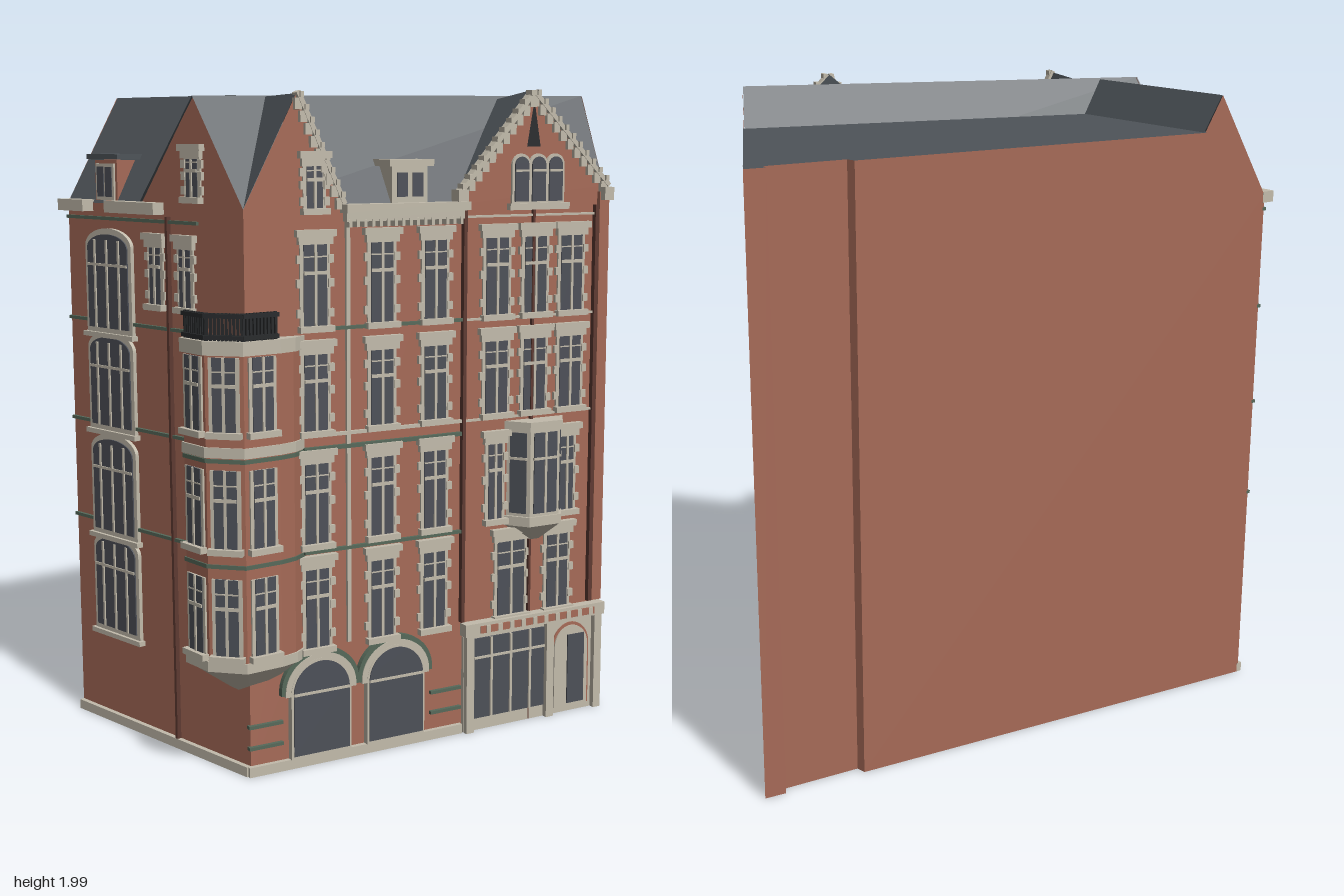
import * as THREE from 'three';

const mat = (name, color, side = THREE.FrontSide) => {
  const m = new THREE.MeshStandardMaterial({ color, side });
  m.name = name;
  return m;
};

export function createModel() {
  const root = new THREE.Group();
  root.name = 'cornerBuilding';
  const brick = mat('brick', 0xa66a57, THREE.DoubleSide);
  const slate = mat('slate', 0x4e5459, THREE.DoubleSide);
  const stone = mat('stone', 0xc2bbab);
  const glass = mat('glass', 0x4d5058);
  const iron = mat('iron', 0x27292b);
  const green = mat('greenTrim', 0x56695a);
  const pipe = mat('pipe', 0x5e3a32);

  const add = (g, name, geo, m, x = 0, y = 0, z = 0) => {
    const mesh = new THREE.Mesh(geo, m);
    mesh.name = name;
    mesh.position.set(x, y, z);
    g.add(mesh);
    return mesh;
  };
  // Box given by its centre in a wall's own frame
  const box = (g, name, m, x, y, z, w, h, d) => add(g, name, new THREE.BoxGeometry(w, h, d), m, x, y, z);
  // Box given by its extents; depth is measured out from the wall
  const slab = (g, name, m, x0, x1, y0, y1, out, back = 0.005) =>
    box(g, name, m, (x0 + x1) / 2, (y0 + y1) / 2, (out - back) / 2, x1 - x0, y1 - y0, out + back);
  // Frame whose x runs along a wall from a to b and whose z points outward
  const frame = (name, a, b) => {
    const g = new THREE.Group();
    g.name = name;
    g.position.set(a[0], 0, a[1]);
    g.rotation.y = -Math.atan2(b[1] - a[1], b[0] - a[0]);
    root.add(g);
    return g;
  };
  const len = (a, b) => Math.hypot(b[0] - a[0], b[1] - a[1]);
  const poly = pts => new THREE.Shape(pts.map(p => new THREE.Vector2(...p)));
  const wall = (g, pts) => add(g, 'wall', new THREE.ShapeGeometry(poly(pts)), brick);
  // Flat polygons joined into one surface
  const facets = (g, name, m, faces) => {
    const pos = [];
    for (const f of faces)
      for (let i = 1; i < f.length - 1; i++) pos.push(...f[0], ...f[i], ...f[i + 1]);
    const geo = new THREE.BufferGeometry();
    geo.setAttribute('position', new THREE.Float32BufferAttribute(pos, 3));
    geo.computeVertexNormals();
    return add(g, name, geo, m);
  };
  const arch = (g, name, m, x, y0, spring, w, rise, out) => {
    const s = new THREE.Shape();
    s.moveTo(-w / 2, y0);
    s.lineTo(w / 2, y0);
    s.lineTo(w / 2, spring);
    s.absellipse(0, spring, w / 2, rise, 0, Math.PI, false);
    s.lineTo(-w / 2, y0);
    add(g, name, new THREE.ExtrudeGeometry(s, { depth: out + 0.005, bevelEnabled: false, curveSegments: 14 }), m, x, 0, -0.005);
  };
  // Sash window with stone jambs, glazing bars, lintel and sill
  const sash = (g, x, y0, y1, w, head = true) => {
    const win = new THREE.Group();
    win.name = 'window';
    win.position.x = x;
    g.add(win);
    const h = y1 - y0, t = y0 + h * 0.62;
    slab(win, 'jambs', stone, -w / 2 - 0.011, w / 2 + 0.011, y0, y1, 0.006);
    slab(win, 'pane', glass, -w / 2, w / 2, y0, y1, 0.008, -0.002);
    slab(win, 'mullion', stone, -0.004, 0.004, y0, y1, 0.012, 0);
    slab(win, 'transom', stone, -w / 2, w / 2, t - 0.005, t + 0.005, 0.012, 0);
    slab(win, 'glazingBar', stone, -w / 2, w / 2, y0 + h * 0.8, y0 + h * 0.8 + 0.004, 0.01, 0);
    slab(win, 'sill', stone, -w / 2 - 0.018, w / 2 + 0.018, y0 - 0.018, y0, 0.022);
    if (!head) return;
    slab(win, 'lintel', stone, -w / 2 - 0.018, w / 2 + 0.018, y1 - 0.012, y1 + 0.012, 0.014);
    slab(win, 'lintelCap', stone, -w / 2 - 0.026, w / 2 + 0.026, y1 + 0.01, y1 + 0.03, 0.02);
    for (const s of [-1, 1])
      for (const q of [0.15, 0.5, 0.78]) box(win, 'quoin', stone, s * (w / 2 + 0.013), y0 + h * q, 0.004, 0.018, 0.024, 0.012);
  };

  // Plan corners
  const A = [-0.82, 0.22], B = [0.38, 0.59], D = [0.93, -0.38], C = [-0.8, -0.615];
  const back = [D, [0.865, -0.39], [0.86, -0.365], [0.615, -0.395], [0.61, -0.425], C];
  const U = x => (x - A[0]) / 0.9556;   // distance along the front for a given x
  const L = len(A, B);
  const rows = [[0.36, 0.61], [0.675, 0.925], [1.01, 1.245], [1.315, 1.56]];

  // Plain party walls
  const right = frame('rightWall', B, D);
  wall(right, [[0, 0], [len(B, D), 0], [len(B, D), 1.86], [0.302, 1.86], [0.206, 1.98], [0, 1.66]]);
  for (let i = 0; i < 5; i++) {
    const g = frame('backWall', back[i], back[i + 1]), l = len(back[i], back[i + 1]);
    wall(g, i < 4 ? [[0, 0], [l, 0], [l, 1.86], [0, 1.86]]
      : [[0, 0], [l, 0], [l, 1.65], [1.241, 1.97], [1.18, 1.86], [0, 1.86]]);
  }

  // Street front
  const front = frame('frontFacade', A, B);
  const g1 = [0, U(-0.66), U(-0.52)], g2 = [U(-0.15), U(0.105), L];
  wall(front, [[0, 0], [L, 0], [L, 1.7], [g2[1], 1.99], [g2[0], 1.68], [g2[0], 1.65], [g1[2], 1.65], [g1[1], 1.97], [0, 1.65]]);
  rows.forEach(([y0, y1], r) => {
    for (const x of [-0.61, -0.4, -0.225]) sash(front, U(x), y0, y1, 0.075);
    const rightCols = [[[0.045, 0.1], [0.215, 0.08]], [[-0.015, 0.05], [0.245, 0.05]]][r]
      || [[-0.015, 0.08], [0.12, 0.08], [0.25, 0.08]];
    for (const [x, w] of rightCols) sash(front, U(x), y0, y1, w);
  });
  sash(front, U(-0.61), 1.65, 1.78, 0.05);

  // String courses, cornice, plinth and pipes
  for (const [y, h, m] of [[0.645, 0.01, green], [0.95, 0.012, green], [0.99, 0.01, stone], [1.3, 0.01, green]])
    slab(front, 'stringCourse', m, U(-0.65), U(-0.13), y, y + h, 0.012);
  for (const y of [0.99, 1.3, 1.61]) slab(front, 'stringCourse', stone, U(-0.13), L, y, y + 0.007, 0.009);
  slab(front, 'cornice', stone, U(-0.53), U(-0.13), 1.635, 1.66, 0.045);
  slab(front, 'corniceBase', stone, U(-0.52), U(-0.14), 1.61, 1.636, 0.025);
  for (let i = 0; i < 16; i++) box(front, 'bracket', stone, U(-0.51 + i * 0.024), 1.605, 0.012, 0.01, 0.022, 0.03);
  slab(front, 'plinth', stone, -0.01, U(-0.13), 0, 0.03, 0.015);
  slab(front, 'pilaster', stone, U(-0.515), U(-0.503), 0.36, 1.61, 0.01);
  slab(front, 'pilaster', brick, U(0.345), L, 0.36, 1.68, 0.014);
  for (const x of [-0.13, 0.335]) slab(front, 'downpipe', pipe, U(x) - 0.006, U(x) + 0.006, 0.36, 1.64, 0.016);
  slab(front, 'pole', pipe, U(0.11) - 0.004, U(0.11) + 0.004, 0, 1.64, 0.012);

  // Ground-floor arches and green rails
  for (const x of [-0.606, -0.362]) {
    arch(front, 'archHood', green, U(x), 0.23, 0.24, 0.26, 0.12, 0.018);
    arch(front, 'archStone', stone, U(x), 0.225, 0.235, 0.235, 0.11, 0.021);
    arch(front, 'archFrame', stone, U(x), 0.03, 0.23, 0.2, 0.1, 0.022);
    arch(front, 'archGlass', glass, U(x), 0.04, 0.23, 0.186, 0.092, 0.025);
    slab(front, 'archTransom', stone, U(x) - 0.093, U(x) + 0.093, 0.225, 0.233, 0.028);
  }
  for (const x of [-0.775, -0.185])
    for (const y of [0.085, 0.15]) slab(front, 'rail', green, U(x) - 0.055, U(x) + 0.055, y - 0.005, y + 0.005, 0.012);

  // Shopfront and door
  slab(front, 'shopSurround', stone, U(-0.125), L, 0, 0.31, 0.012);
  slab(front, 'shopFascia', stone, U(-0.13), L, 0.315, 0.355, 0.035);
  slab(front, 'fasciaPanel', brick, U(-0.08), U(0.34), 0.322, 0.345, 0.038);
  for (let i = 0; i < 10; i++) slab(front, 'fasciaBlock', stone, U(-0.06 + i * 0.042), U(-0.045 + i * 0.042), 0.322, 0.345, 0.04);
  slab(front, 'shopGlass', glass, U(-0.09), U(0.165), 0.04, 0.3, 0.018);
  for (const x of [-0.03, 0.04, 0.11]) slab(front, 'shopMullion', stone, U(x) - 0.004, U(x) + 0.004, 0.04, 0.3, 0.023);
  slab(front, 'shopTransom', stone, U(-0.09), U(0.165), 0.235, 0.242, 0.023);
  for (const x of [-0.11, 0.18, 0.36]) slab(front, 'shopPilaster', stone, U(x) - 0.014, U(x) + 0.014, 0, 0.32, 0.03);
  arch(front, 'doorRecess', brick, U(0.265), 0.02, 0.22, 0.145, 0.08, 0.016);
  arch(front, 'doorArch', stone, U(0.265), 0.02, 0.22, 0.13, 0.07, 0.02);
  slab(front, 'door', glass, U(0.25), U(0.312), 0.03, 0.26, 0.024);

  // Oriel window
  const oriel = new THREE.Group();
  oriel.name = 'oriel';
  oriel.position.x = U(0.125);
  front.add(oriel);
  const plan = [[-0.1, 0], [-0.055, 0.065], [0.055, 0.065], [0.1, 0]];
  const ring = (s, y) => plan.map(([x, z]) => [x * s, y, z * s]);
  const loft = (g, name, m, a, b) => facets(g, name, m, a.slice(1).map((p, i) => [a[i], p, b[i + 1], b[i]]).concat([b]));
  loft(oriel, 'orielBody', stone, ring(1, 0.65), ring(1, 0.95));
  for (const [y, s] of [[0.65, 1.1], [0.95, 1.1]]) {
    loft(oriel, 'orielBand', stone, ring(s, y), ring(s, y + 0.03));
    add(oriel, 'orielBandUnder', new THREE.ShapeGeometry(poly(plan.map(([x, z]) => [x * s, z * s]))).rotateX(Math.PI / 2), stone, 0, y, 0);
  }
  loft(oriel, 'orielCorbel', stone, ring(0.25, 0.595), ring(1.05, 0.65));
  for (let i = 0; i < 3; i++) {
    const [a, b] = [plan[i], plan[i + 1]], face = new THREE.Group(), l = len(a, b);
    face.name = 'orielFace';
    face.position.set(a[0], 0, a[1]);
    face.rotation.y = -Math.atan2(b[1] - a[1], b[0] - a[0]);
    oriel.add(face);
    slab(face, 'orielGlass', glass, 0.012, l - 0.012, 0.69, 0.945, 0.004, -0.001);
    slab(face, 'orielTransom', stone, 0.01, l - 0.01, 0.86, 0.868, 0.007, 0);
    if (i === 1) slab(face, 'orielMullion', stone, l / 2 - 0.004, l / 2 + 0.004, 0.69, 0.945, 0.007, 0);
  }

  // Triple arched gable window
  slab(front, 'tripleSill', stone, U(0.02), U(0.23), 1.63, 1.65, 0.02);
  for (const x of [0.065, 0.125, 0.185]) {
    arch(front, 'tripleFrame', stone, U(x), 1.65, 1.765, 0.068, 0.034, 0.008);
    arch(front, 'tripleGlass', glass, U(x), 1.655, 1.765, 0.05, 0.025, 0.012);
    slab(front, 'tripleBar', stone, U(x) - 0.025, U(x) + 0.025, 1.745, 1.752, 0.015);
  }
  facets(front, 'gableOrnament', iron, [[[g2[1] - 0.025, 1.82, 0.01], [g2[1] + 0.025, 1.82, 0.01], [g2[1], 1.96, 0.01]]]);

  // Sloped coping with stepped blocks and crockets
  const coping = (g, x0, y0, x1, y1, n) => {
    const l = Math.hypot(x1 - x0, y1 - y0);
    box(g, 'coping', stone, (x0 + x1) / 2, (y0 + y1) / 2, 0, l, 0.014, 0.03).rotation.z = Math.atan2(y1 - y0, x1 - x0);
    for (let i = 0; i < n; i++) {
      const t = (i + 0.5) / n, x = x0 + (x1 - x0) * t, y = y0 + (y1 - y0) * t;
      box(g, 'stepBlock', stone, x + Math.sign(x1 - x0) * 0.008, y - 0.016, 0.004, 0.022, 0.032, 0.018);
      box(g, 'crocket', stone, x, y + 0.01, 0.006, 0.012, 0.016, 0.03);
    }
  };
  coping(front, g1[2], 1.66, g1[1], 1.975, 9);
  coping(front, g2[0], 1.68, g2[1], 1.985, 11);
  coping(front, g2[2], 1.7, g2[1], 1.985, 11);
  for (const x of [g2[0], g2[2] - 0.015]) box(front, 'kneeler', stone, x, 1.675, 0.015, 0.035, 0.04, 0.04);

  // Main front roof and its gables
  facets(front, 'frontRoof', slate, [
    [[0, 1.65, 0], [L, 1.66, 0], [1.298, 1.98, -0.201], [-0.062, 1.965, -0.2]],
    [[-0.062, 1.965, -0.2], [1.298, 1.98, -0.201], [1.355, 1.65, -0.46], [-0.13, 1.65, -0.46]]]);
  for (const [g, y, yl, yr] of [[g1, 1.97, 1.65, 1.65], [g2, 1.99, 1.68, 1.7]])
    facets(front, 'gableRoof', slate, [
      [[g[0], yl, -0.002], [g[1], y, -0.002], [g[1], 1.965, -0.2]],
      [[g[1], y, -0.002], [g[2], yr, -0.002], [g[1], 1.965, -0.2]]]);

  // Front dormer
  const dx = U(-0.31);
  box(front, 'dormer', stone, dx, 1.71, -0.05, 0.12, 0.12, 0.11);
  box(front, 'dormerRoof', stone, dx, 1.775, -0.045, 0.15, 0.02, 0.125);
  for (const s of [-1, 1]) box(front, 'dormerGlass', glass, dx + s * 0.026, 1.712, 0.005, 0.036, 0.07, 0.006);

  // Left street front
  const left = frame('leftFacade', C, A), M = len(C, A);
  wall(left, [[0, 0], [M, 0], [M, 1.65], [0.625, 1.965], [0.37, 1.65], [0, 1.65]]);
  rows.forEach(([y0, y1]) => {
    arch(left, 'segmentFrame', stone, 0.215, y0 - 0.06, y1 - 0.04, 0.23, 0.055, 0.012);
    arch(left, 'segmentGlass', glass, 0.215, y0 - 0.045, y1 - 0.045, 0.2, 0.042, 0.016);
    for (const x of [0.155, 0.215, 0.275]) slab(left, 'segmentMullion', stone, x - 0.004, x + 0.004, y0 - 0.045, y1 - 0.02, 0.02);
    slab(left, 'segmentTransom', stone, 0.115, 0.315, y1 - 0.1, y1 - 0.092, 0.02);
    slab(left, 'segmentSill', stone, 0.09, 0.34, y0 - 0.075, y0 - 0.06, 0.022);
    slab(left, 'stringCourse', green, 0, 0.64, y1 + 0.04, y1 + 0.05, 0.01);
  });
  sash(left, 0.44, 1.36, 1.54, 0.05);
  sash(left, 0.58, 1.36, 1.54, 0.05);
  sash(left, 0.62, 1.68, 1.8, 0.05);
  slab(left, 'plinth', stone, 0, M, 0, 0.03, 0.015);
  slab(left, 'downpipe', pipe, 0.5, 0.51, 0.03, 1.62, 0.014);
  for (const [a, b] of [[0, 0.13], [0.24, 0.48]]) slab(left, 'cornice', stone, a, b, 1.625, 1.66, 0.04);
  facets(left, 'leftRoof', slate, [
    [[0, 1.65, 0], [0.6, 1.65, 0], [0.6, 1.97, -0.18], [0.024, 1.97, -0.18]],
    [[0.024, 1.97, -0.18], [0.6, 1.97, -0.18], [0.6, 1.85, -0.247], [0.032, 1.85, -0.247]]]);
  box(left, 'dormer', brick, 0.195, 1.715, -0.05, 0.11, 0.13, 0.09);
  box(left, 'dormerFrame', stone, 0.195, 1.715, -0.003, 0.09, 0.11, 0.008);
  for (const s of [-1, 1]) box(left, 'dormerGlass', glass, 0.195 + s * 0.02, 1.715, 0.001, 0.032, 0.09, 0.006);
  box(left, 'dormerRoof', slate, 0.195, 1.79, -0.05, 0.155, 0.016, 0.12);

  // Roof deck behind the ridges
  const deck = [...back.slice(0, 5), [-0.58, -0.587], [-0.58, -0.013], [0.53, 0.33]];
  facets(root, 'roofDeck', slate, THREE.ShapeUtils.triangulateShape(deck.map(p => new THREE.Vector2(...p)), [])
    .map(f => f.map(i => [deck[i][0], 1.86, deck[i][1]])));

  // Corner bay
  const bay = [[-0.825, 0.03], [-0.915, 0.06], [-0.928, 0.17], [-0.87, 0.268], [-0.755, 0.29], [-0.7, 0.29], [-0.65, 0.272]];
  const scaled = s => bay.map(([x, z]) => [-0.77 + (x + 0.77) * s, 0.17 + (z - 0.17) * s]);
  const bayLayer = (name, m, s, y0, y1) =>
    add(root, name, new THREE.ExtrudeGeometry(poly(scaled(s).map(([x, z]) => [x, -z])), { depth: y1 - y0, bevelEnabled: false }).rotateX(-Math.PI / 2), m, 0, y0, 0);
  bayLayer('bayBody', brick, 1, 0.35, 1.26);
  bayLayer('bayRoof', stone, 1.05, 1.25, 1.29);
  for (const y of [0.335, 0.96]) bayLayer('bayBand', stone, 1.04, y, y + 0.03);
  for (const y of [0.64, 0.945]) bayLayer('bayGreenBand', green, 1.03, y, y + 0.012);
  const bayRing = (s, y) => scaled(s).map(([x, z]) => [x, y, z]);
  loft(root, 'bayCorbel', stone, bayRing(0.3, 0.25), bayRing(1, 0.335));
  loft(root, 'bayCorbelBase', stone, bayRing(1, 0.335), bayRing(0.3, 0.25));
  for (let i = 1; i < 4; i++) {
    const face = frame('bayFace', bay[i], bay[i + 1]), l = len(bay[i], bay[i + 1]);
    for (const [y0, y1] of rows.slice(0, 3)) sash(face, l / 2, y0 + 0.025, y1, 0.068, false);
    // Balcony railing
    for (const y of [1.3, 1.36]) box(face, 'balconyRail', iron, l / 2, y, -0.008, l, 0.012, 0.022);
    for (let k = 0; k < 10; k++) box(face, 'baluster', iron, (k + 0.5) * l / 10, 1.328, -0.008, 0.007, 0.08, 0.008);
  }
  return root;
}
